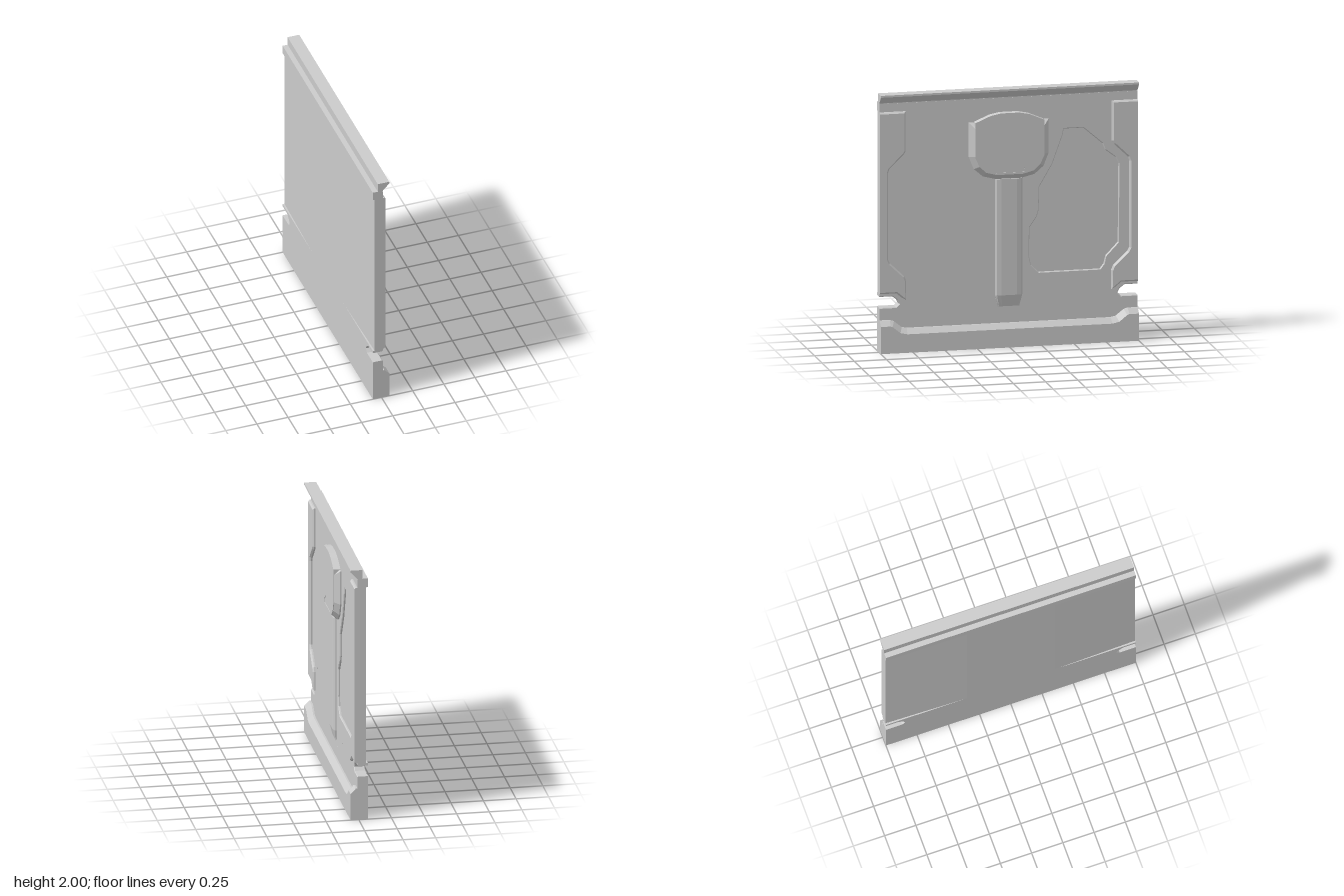
import * as THREE from 'three';

const BACK = -0.07, FLOOR = -0.006, FACE = 0.01;
const material = new THREE.MeshStandardMaterial({ color: 0xcccccc });

function toVectors(points) {
  return points.map(([u, y]) => new THREE.Vector2(u, y));
}

// Left half outline followed by its mirror image
function mirrored(half) {
  return half.concat(half.slice().reverse().map(([u, y]) => [-u, y]));
}

function flip(points) {
  return points.map(([u, y]) => [-u, y]);
}

function addMesh(parent, name, geometry) {
  const mesh = new THREE.Mesh(geometry, material);
  mesh.name = name;
  parent.add(mesh);
  return mesh;
}

// Plate between two depths; bevelled edges near the panel border snap back to it
function plate(outline, from, to, bevel = 0, holes = [], snap = 0) {
  const shape = new THREE.Shape(toVectors(outline));
  holes.forEach((h) => shape.holes.push(new THREE.Path(toVectors(h))));
  const geometry = new THREE.ExtrudeGeometry(shape, {
    depth: to - from - 2 * bevel, bevelEnabled: bevel > 0, bevelSegments: 1,
    bevelSize: bevel, bevelThickness: bevel, bevelOffset: -bevel,
  });
  geometry.translate(0, 0, from + bevel);
  const p = geometry.attributes.position;
  for (let i = 0; i < p.count && snap; i++) {
    if (Math.abs(p.getX(i)) > 1 - snap) p.setX(i, Math.sign(p.getX(i)));
    if (p.getY(i) < snap) p.setY(i, 0);
  }
  geometry.computeVertexNormals();
  return geometry;
}

// Cross-section of [across, depth] points run upward from y0 to y1
function upright(section, y0, y1, steps = 1) {
  const shape = new THREE.Shape(toVectors(section.map(([u, d]) => [u, -d])));
  const geometry = new THREE.ExtrudeGeometry(shape, { depth: y1 - y0, steps, bevelEnabled: false });
  return geometry.rotateX(-Math.PI / 2).translate(0, y0, 0);
}

export function createModel() {
  const model = new THREE.Group();
  model.name = 'panel';
  const body = new THREE.Group();
  body.name = 'panelBody';
  body.rotation.y = Math.PI / 2;
  model.add(body);

  // Core: its back tapers gently toward the two side edges
  addMesh(body, 'core', upright(mirrored([
    [-0.35, BACK], [-1, BACK + 0.015], [-1, FLOOR],
  ]), 0.45, 1.86));
  addMesh(body, 'topCore', plate([[-1, 1.86], [1, 1.86], [1, 1.93], [-1, 1.93]], BACK, FLOOR));

  // Lower core with a slot cut into each side
  const slot = [[-1, 0.345], [-0.87, 0.345], [-0.845, 0.37], [-0.86, 0.4], [-0.9, 0.43], [-1, 0.43]];
  addMesh(body, 'lowerCore', plate(
    mirrored([[-1, 0], ...slot, [-1, 0.45]]), BACK, FLOOR));

  // Skin with two large recesses and a curved groove
  const recess = [
    [-0.58, 1.66], [-0.43, 1.66], [-0.42, 1.61], [-0.34, 1.39], [-0.24, 1.22], [-0.235, 1.04],
    [-0.22, 0.99], [-0.165, 0.91], [-0.16, 0.69], [-0.175, 0.62], [-0.235, 0.56], [-0.71, 0.56],
    [-0.74, 0.6], [-0.755, 0.66], [-0.85, 0.76], [-0.855, 1.37], [-0.83, 1.42], [-0.75, 1.48], [-0.73, 1.53],
  ];
  const grooveTop = mirrored([[-0.765, 0.387], [-0.31, 0.387], [-0.27, 0.37], [-0.1, 0.265], [-0.06, 0.257]]);
  const grooveBottom = mirrored([[-0.755, 0.37], [-0.315, 0.37], [-0.28, 0.355], [-0.11, 0.25], [-0.06, 0.24]]);
  addMesh(body, 'skin', plate(
    mirrored([[-1, 0], ...slot, [-1, 1.93]]), FLOOR - 0.01, FACE, 0.006,
    [recess, flip(recess), grooveTop.concat(grooveBottom.reverse())], 0.02));

  // Raised strips along both side edges
  const strip = [
    [-1, 1.86], [-0.8, 1.86], [-0.8, 1.55], [-0.815, 1.525], [-0.925, 1.42], [-0.935, 1.39],
    [-0.935, 0.72], [-0.92, 0.69], [-0.81, 0.585], [-0.795, 0.55], [-0.795, 0.4], [-0.83, 0.42],
    [-0.87, 0.455], [-1, 0.455],
  ];
  [['frontStrip', strip], ['rearStrip', flip(strip)]].forEach(([name, outline]) =>
    addMesh(body, name, plate(outline, FACE - 0.016, 0.033, 0.012, [], 0.025)));

  // Thick bottom rail with a sloped shoulder
  addMesh(body, 'bottomRail', plate(mirrored([
    [-1, 0], [-1, 0.25], [-0.92, 0.25], [-0.89, 0.24], [-0.83, 0.192], [-0.79, 0.183],
  ]), -0.06, 0.063, 0.04, [], 0.06));

  // Centre rib, sloping into the face at its foot
  const rib = upright(mirrored([
    [-0.105, -0.02], [-0.105, 0.02], [-0.092, 0.031], [-0.06, 0.036],
  ]), 0.31, 1.3, 11);
  const p = rib.attributes.position;
  for (let i = 0; i < p.count; i++) {
    if (p.getY(i) < 0.35) {
      p.setZ(i, Math.min(p.getZ(i), FACE + 0.002));
      p.setX(i, p.getX(i) * 0.8);
    }
  }
  rib.computeVertexNormals();
  addMesh(body, 'centreRib', rib);

  // Raised shield: sloped skirt around the sides and bottom, upright arched top
  const foot = mirrored([[-0.308, 1.745], [-0.308, 1.48], [-0.27, 1.385], [-0.2, 1.325], [-0.1, 1.3]]);
  addMesh(body, 'shieldSkirt', plate(foot, -0.045, 0.06, 0.04));
  const arch = mirrored([[-0.11, 1.355], [-0.115, 1.385], [-0.09, 1.415], [-0.06, 1.422]]);
  addMesh(body, 'shieldFace', plate(mirrored([
    [-0.268, 1.48], [-0.235, 1.41], [-0.185, 1.362], [-0.1, 1.34],
  ]).concat([[0.268, 1.75], [0.15, 1.8], [0.07, 1.816], [-0.07, 1.816], [-0.15, 1.8], [-0.268, 1.75]]),
  FLOOR, 0.064, 0, [arch]));

  // Overhanging lip along the top
  const lip = new THREE.ExtrudeGeometry(new THREE.Shape(toVectors([
    [-0.03, 1.9], [0.008, 1.9], [0.01, 1.93], [0.063, 1.985], [0.063, 2], [-0.03, 2],
  ])), { depth: 2, bevelEnabled: false });
  addMesh(model, 'topLip', lip.translate(0, 0, -1));

  return model;
}
